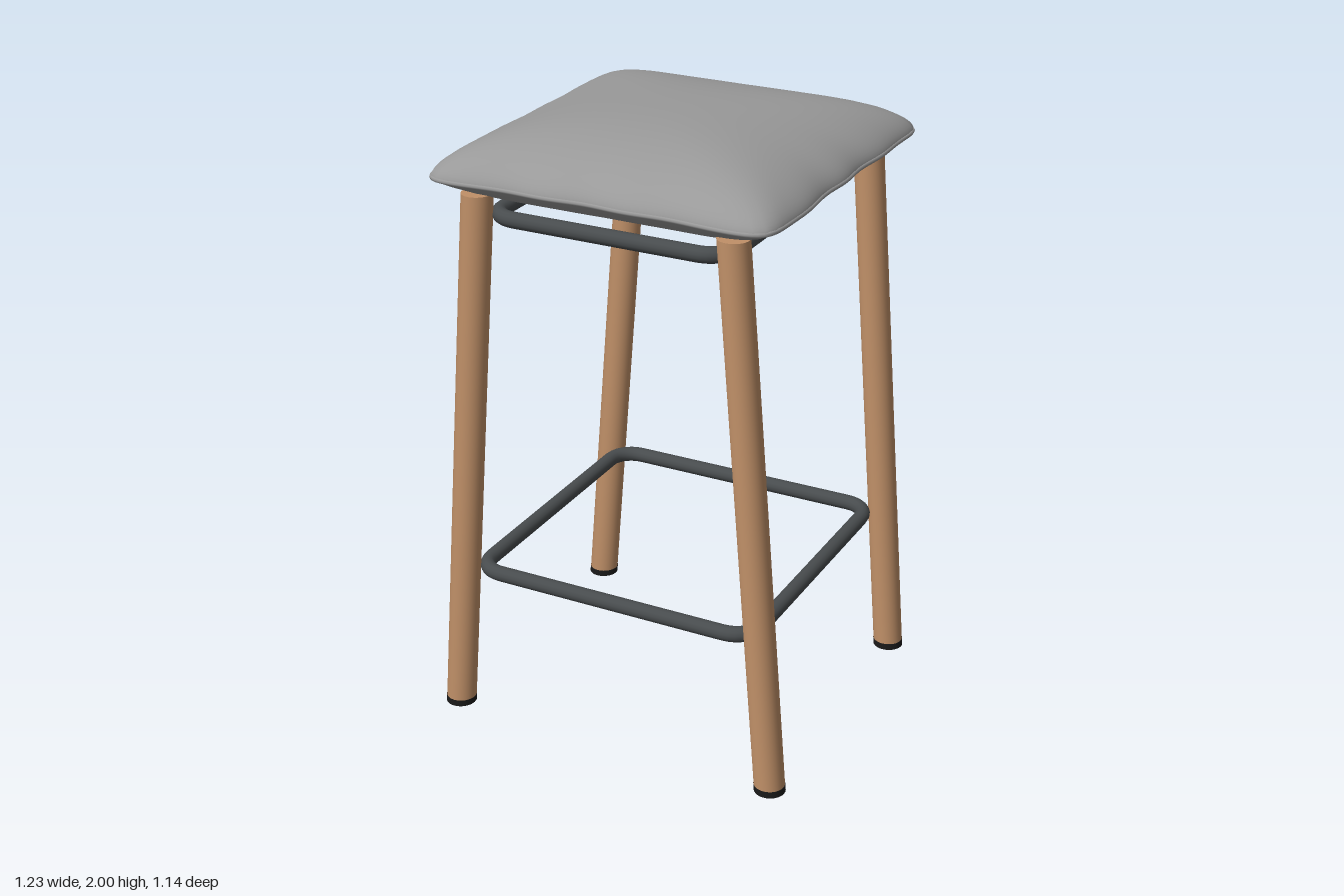
import * as THREE from 'three';

const material = (name, color) => Object.assign(new THREE.MeshStandardMaterial({ color }), { name });

const SEAM_Y = 1.845;

// Point on the cushion plan: round near the middle, soft square at the rim, sides drawn in slightly
function cushionPoint(t, angle, y) {
  const n = 2 + 12 * t * t;
  const c = Math.cos(angle), s = Math.sin(angle);
  const r = t / Math.pow(Math.abs(c) ** n + Math.abs(s) ** n, 1 / n);
  const u = r * c, v = r * s;
  const ripple = 0.004 * t ** 6 * Math.sin(14 * angle + 1);
  const x = u * (0.573 - 0.018 * (1 - v * v) * t + ripple);
  const z = v * (0.573 - 0.018 * (1 - u * u) * t + ripple);
  return new THREE.Vector3(x, y, z);
}

// One half of the cushion, swept from the centre out to the seam
function cushionHalf(height, up) {
  const rings = 28, segs = 128, positions = [], index = [];
  for (let i = 0; i <= rings; i++) {
    const t = Math.sin((Math.PI / 2) * (i / rings));
    for (let j = 0; j < segs; j++) {
      positions.push(...cushionPoint(t, (j / segs) * Math.PI * 2, height(t)).toArray());
    }
  }
  for (let i = 0; i < rings; i++) {
    for (let j = 0; j < segs; j++) {
      const a = i * segs + j, b = i * segs + ((j + 1) % segs);
      const c = a + segs, d = b + segs;
      if (up) index.push(a, b, c, b, d, c);
      else index.push(a, c, b, b, c, d);
    }
  }
  const geo = new THREE.BufferGeometry();
  geo.setAttribute('position', new THREE.Float32BufferAttribute(positions, 3));
  geo.setIndex(index);
  geo.computeVertexNormals();
  return geo;
}

// Closed bent tube following a rounded rectangle in the horizontal plane
function ringGeometry(hx, hz, corner, radius) {
  const points = [];
  for (const [sx, sz, start] of [[1, 1, 0], [-1, 1, 1], [-1, -1, 2], [1, -1, 3]]) {
    for (let k = 0; k <= 6; k++) {
      const a = (start + k / 6) * Math.PI / 2;
      points.push(new THREE.Vector3(
        sx * (hx - corner) + corner * Math.cos(a), 0,
        sz * (hz - corner) + corner * Math.sin(a)));
    }
  }
  const path = new THREE.CurvePath();
  points.forEach((p, i) => path.add(new THREE.LineCurve3(p, points[(i + 1) % points.length])));
  const curve = new THREE.CatmullRomCurve3(path.getSpacedPoints(160).slice(0, -1), true);
  return new THREE.TubeGeometry(curve, 200, radius, 14, true);
}

// Round post between two heights, sheared so that its ends stay level
const legX = (y) => 0.565 - 0.081 * y;
function postGeometry(y0, y1, radius) {
  const geo = new THREE.CylinderGeometry(radius, radius, y1 - y0, 32);
  geo.translate(0, (y0 + y1) / 2, 0);
  const p = geo.attributes.position;
  for (let i = 0; i < p.count; i++) p.setX(i, p.getX(i) + legX(p.getY(i)));
  return geo;
}

export function createModel() {
  const fabric = material('grey fabric', 0x999999);
  const wood = material('warm wood', 0xc09068);
  const metal = material('dark metal', 0x484c4e);
  const rubber = material('black rubber', 0x1a1a1a);

  const model = new THREE.Group();
  model.name = 'stool';
  const add = (name, geo, mat, parent = model) => {
    const mesh = new THREE.Mesh(geo, mat);
    mesh.name = name;
    parent.add(mesh);
    return mesh;
  };

  // Cushion with a domed top, sagging underside and piped seam
  const cushion = new THREE.Group();
  cushion.name = 'cushion';
  model.add(cushion);
  add('cushionTop', cushionHalf((t) => SEAM_Y + 0.155 * Math.max(0, 1 - t ** 2.5) ** 0.6, true), fabric, cushion);
  add('cushionUnderside', cushionHalf((t) => SEAM_Y - 0.17 * Math.max(0, 1 - t ** 1.8) ** 0.8, false), fabric, cushion);
  const seam = [];
  for (let j = 0; j < 128; j++) seam.push(cushionPoint(0.992, (j / 128) * Math.PI * 2, SEAM_Y));
  add('piping', new THREE.TubeGeometry(new THREE.CatmullRomCurve3(seam, true), 256, 0.008, 8, true), fabric, cushion);

  // Splayed legs with rubber feet
  const legGeo = postGeometry(0.02, 1.8, 0.049);
  const footGeo = postGeometry(0, 0.022, 0.05);
  for (const [side, turn] of [['Left', 0], ['Right', Math.PI]]) {
    for (const [end, z] of [['front', 0.488], ['back', -0.488]]) {
      const leg = new THREE.Group();
      leg.name = `${end}${side}Leg`;
      leg.position.z = z;
      leg.rotation.y = turn;
      add('legPost', legGeo, wood, leg);
      add('foot', footGeo, rubber, leg);
      model.add(leg);
    }
  }

  // Bent tube frames: one under the cushion, one as a footrest
  add('seatFrame', ringGeometry(0.385, 0.48, 0.08, 0.025), metal).position.y = 1.73;
  add('footrest', ringGeometry(0.48, 0.48, 0.08, 0.025), metal).position.y = 0.515;

  return model;
}
